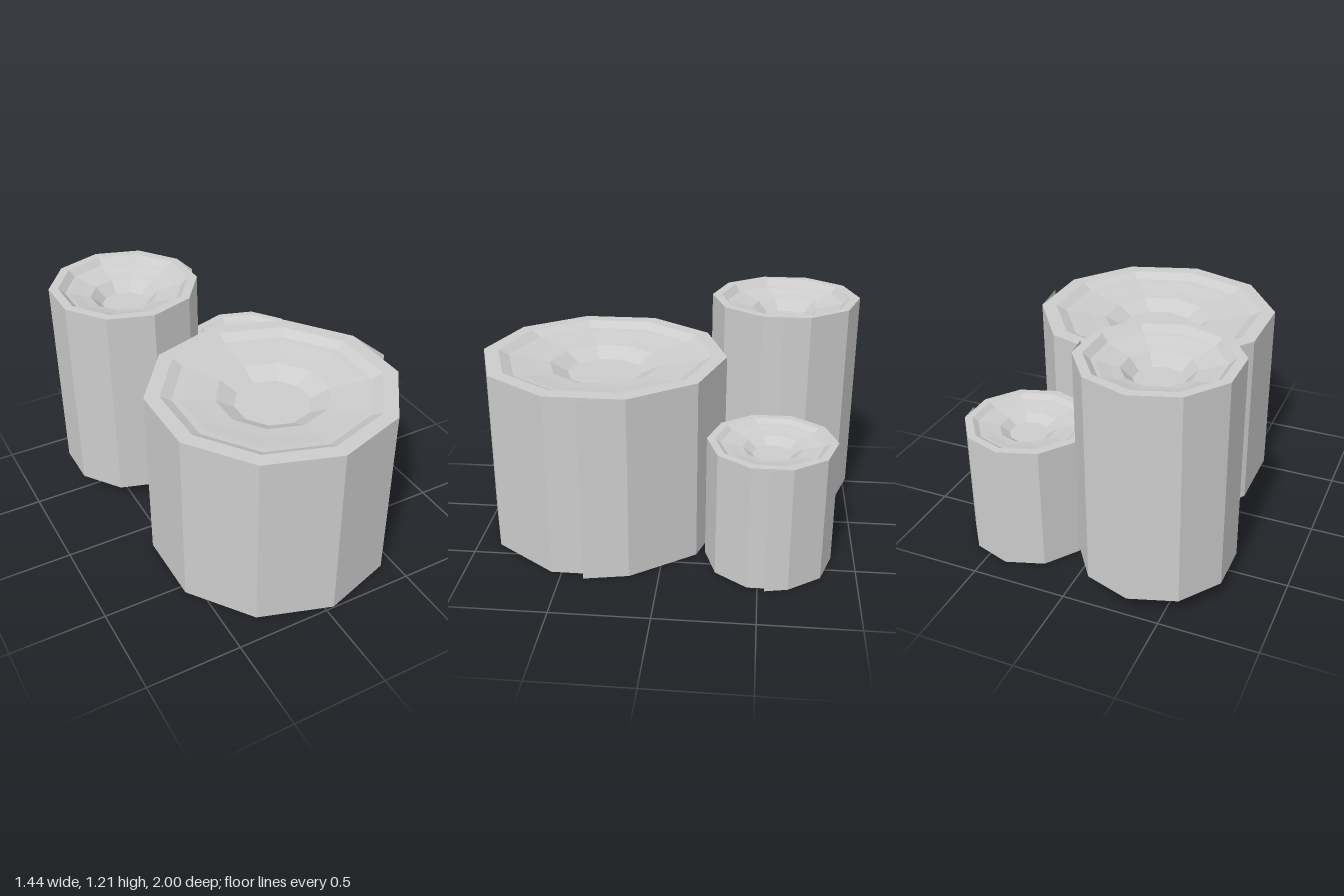
import * as THREE from 'three';

// End-cap steps: [radius, depth below the rim], as fractions of radius and height
const CAP = [[1, 0], [0.877, 0], [0.79, 0.03], [0.73, 0.034], [0.585, 0.05], [0.454, 0.06], [0.308, 0.11], [0, 0.11]];

// Ten-sided drum of radius 1 and height 1, with stepped hollows in both ends
function drumGeometry() {
  const bottom = CAP.map(([r, d]) => new THREE.Vector2(r, d)).reverse();
  const top = CAP.map(([r, d]) => new THREE.Vector2(r, 1 - d));
  return new THREE.LatheGeometry([...bottom, ...top], 10);
}

// Loose end of the wrapped side wall, standing slightly off the drum
function flapGeometry() {
  const [x0, z0, x1, z1, drop] = [0.951, -0.309, 1.008, 0.046, 0.006];
  const geometry = new THREE.PlaneGeometry(1, 1);
  const p = geometry.attributes.position;
  for (let i = 0; i < p.count; i++) {
    const free = p.getX(i) < 0;
    const y = p.getY(i) + 0.5 - (free ? drop : 0);
    p.setXYZ(i, free ? x1 : x0, y, free ? z1 : z0);
  }
  geometry.computeVertexNormals();
  return geometry;
}

export function createModel() {
  const model = new THREE.Group();
  model.name = 'drums';
  const grey = new THREE.MeshStandardMaterial({ color: 0xcccccc, flatShading: true, side: THREE.DoubleSide });
  grey.name = 'light grey';
  const drum = drumGeometry();
  const flap = flapGeometry();

  // name, x, z, radius, bottom, top
  const drums = [
    ['largeDrum', 0.043, 0.35, 0.65, 0.006, 0.98],
    ['tallDrum', -0.34, -0.6, 0.4, 0.1, 1.205],
    ['smallDrum', 0.39, -0.55, 0.33, 0.004, 0.672],
  ];
  for (const [name, x, z, radius, bottom, top] of drums) {
    const group = new THREE.Group();
    group.name = name;
    group.position.set(x, bottom, z);
    group.scale.set(radius, top - bottom, radius);
    const body = new THREE.Mesh(drum, grey);
    body.name = name + 'Body';
    const seam = new THREE.Mesh(flap, grey);
    seam.name = name + 'SeamFlap';
    group.add(body, seam);
    model.add(group);
  }
  return model;
}
